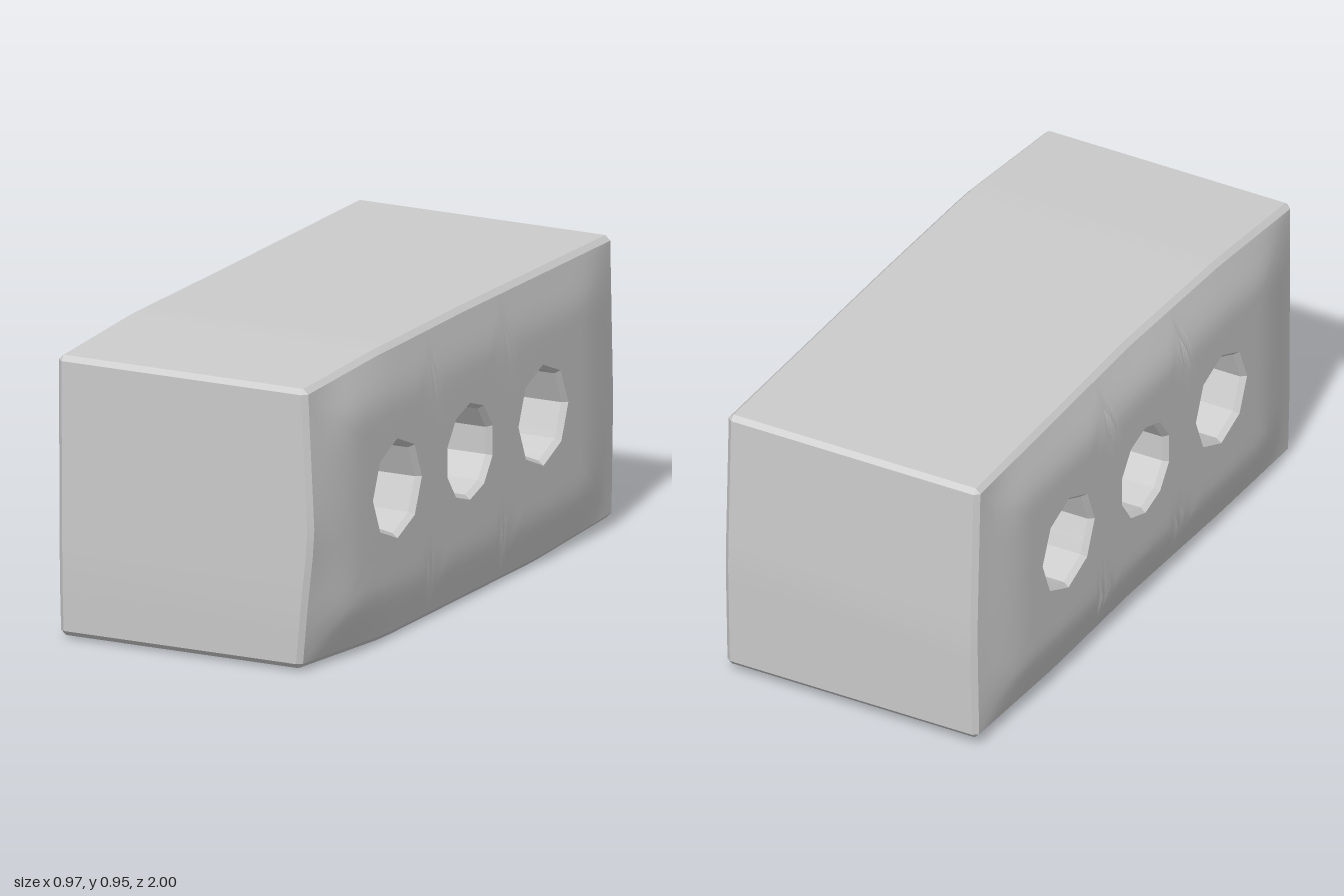
import * as THREE from 'three';
import { toCreasedNormals } from 'three/addons/utils/BufferGeometryUtils.js';

const H = 0.95, C = 0.017, STEPS = 10;      // height, chamfer, samples per cell side
const CELLS = [-0.985, -0.23, 0.25, 0.985]; // one cell of the side per hole
const HOLES = [
  { z: -0.475, n: 8, r: 0.165, start: 45 },
  { z: 0.01, n: 10, r: 0.157, start: 54 },
  { z: 0.49, n: 8, r: 0.162, start: 45 },
];
const lerp = THREE.MathUtils.lerp;
const smooth = (d, w) => THREE.MathUtils.smoothstep(d, -w * 0.5, w) * 1.35 - 0.35;

// piecewise linear rule through [position, value] pairs
function along(v, pts) {
  if (v <= pts[0][0]) return pts[0][1];
  for (let i = 1; i < pts.length; i++) {
    const [a, p] = pts[i - 1], [b, q] = pts[i];
    if (v <= b) return lerp(p, q, (v - a) / (b - a));
  }
  return pts[pts.length - 1][1];
}

// x of the worn rim, and of the swollen face inside it
function rimX(s, z, y) {
  if (s < 0) return -(0.43 + 0.017 * Math.min(1, Math.abs(z)));
  const front = THREE.MathUtils.clamp((z - 0.5) / 0.5, 0, 1);
  return 0.455 - front * along(y, [[0, 0.05], [0.45, 0], [H, 0.022]]);
}
function faceX(s, z, y) {
  const dy = Math.max(0, Math.min(y - C, H - C - y));
  const dz = Math.max(0, 0.985 - Math.abs(z));
  const f = Math.max(0, Math.min(1, smooth(dy, 0.18))) * Math.max(0, Math.min(1, smooth(dz, 0.26)));
  return lerp(rimX(s, z, y), s * 0.483, f);
}

// slightly uneven top, bottom and ends
function warp(x, y, z) {
  const top = along(z, [[-1, 0.943], [0, 0.95], [0.55, 0.946], [1, 0.918]]);
  const bottom = along(z, [[-1, 0.03], [-0.5, 0.004], [0.55, 0], [1, 0.01]]);
  const end = z > 0
    ? along(y, [[0, 0.985], [0.2, 0.994], [0.9, 1]])
    : along(y, [[0, 0.988], [0.4, 1], [H, 0.98]]);
  return [x, lerp(bottom, top, y / H), z * end];
}

// join neighbouring closed rows of points with triangles
function loft(rows, out) {
  for (let i = 0; i + 1 < rows.length; i++) {
    const n = rows[i].length;
    for (let j = 0; j < n; j++) {
      const k = (j + 1) % n;
      const a = rows[i][j], b = rows[i][k], c = rows[i + 1][k], d = rows[i + 1][j];
      out.push(...a, ...b, ...c, ...a, ...c, ...d);
    }
  }
}

function toMesh(name, positions) {
  const g = new THREE.BufferGeometry();
  g.setAttribute('position', new THREE.Float32BufferAttribute(positions, 3));
  const mesh = new THREE.Mesh(toCreasedNormals(g, 0.42), new THREE.MeshStandardMaterial({ color: 0xcccccc }));
  mesh.name = name;
  return mesh;
}

// side of a rectangle sampled from one corner to the next
const edge = (z0, y0, z1, y1, n) =>
  Array.from({ length: n + 1 }, (_, i) => ({ z: lerp(z0, z1, i / n), y: lerp(y0, y1, i / n) }));

// top, bottom and ends with chamfered edges
function outerShell() {
  const lo = C, hi = H - C, [zb, z1, z2, zf] = CELLS;
  const topZ = [...edge(zb, hi, z1, hi, STEPS), ...edge(z1, hi, z2, hi, STEPS).slice(1), ...edge(z2, hi, zf, hi, STEPS).slice(1)];
  const bottomZ = topZ.map(p => ({ z: p.z, y: lo })).reverse();
  const loop = [
    ...topZ.map(p => ({ ...p, nz: 0, ny: 1 })),
    ...edge(zf, hi, zf, lo, STEPS).map(p => ({ ...p, nz: 1, ny: 0 })),
    ...bottomZ.map(p => ({ ...p, nz: 0, ny: -1 })),
    ...edge(zb, lo, zb, hi, STEPS).map(p => ({ ...p, nz: -1, ny: 0 })),
  ];
  const inner = s => loop.map(p => warp(faceX(s, p.z, p.y), p.y, p.z));
  const outer = s => loop.map(p => warp(rimX(s, p.z, p.y) - s * C, p.y + p.ny * C, p.z + p.nz * 0.015));
  const out = [];
  loft([inner(-1), outer(-1), outer(1), inner(1)], out);
  return toMesh('outerShell', out);
}

// both swollen side faces, with the holes running through
function boredSides() {
  const out = [], rings = 9, total = STEPS * 4, cy = 0.487;
  HOLES.forEach((h, c) => {
    const za = CELLS[c], zb = CELLS[c + 1], lo = C, hi = H - C;
    const rect = [
      ...edge(za, hi, zb, hi, STEPS).slice(0, -1), ...edge(zb, hi, zb, lo, STEPS).slice(0, -1),
      ...edge(zb, lo, za, lo, STEPS).slice(0, -1), ...edge(za, lo, za, hi, STEPS).slice(0, -1),
    ];
    // polygonal hole, resampled to match the rectangle
    const hole = r => rect.map((_, i) => {
      const t = i * h.n / total, k = Math.floor(t);
      const at = m => (h.start + m * 360 / h.n) * Math.PI / 180;
      return {
        z: h.z - r * lerp(Math.cos(at(k)), Math.cos(at(k + 1)), t - k),
        y: cy + r * lerp(Math.sin(at(k)), Math.sin(at(k + 1)), t - k),
      };
    });
    const rim = hole(h.r), bore = hole(h.r - 0.014);
    const side = s => {
      const rows = [];
      for (let i = 0; i <= rings; i++) {
        rows.push(rect.map((p, j) => {
          const z = lerp(p.z, rim[j].z, i / rings), y = lerp(p.y, rim[j].y, i / rings);
          return warp(faceX(s, z, y), y, z);
        }));
      }
      rows.push(bore.map(p => warp(faceX(s, p.z, p.y) - s * 0.018, p.y, p.z)));
      return rows;
    };
    loft([...side(1), ...side(-1).reverse()], out);
  });
  return toMesh('boredSides', out);
}

export function createModel() {
  const brick = new THREE.Group();
  brick.name = 'brick';
  brick.add(outerShell(), boredSides());
  return brick;
}
